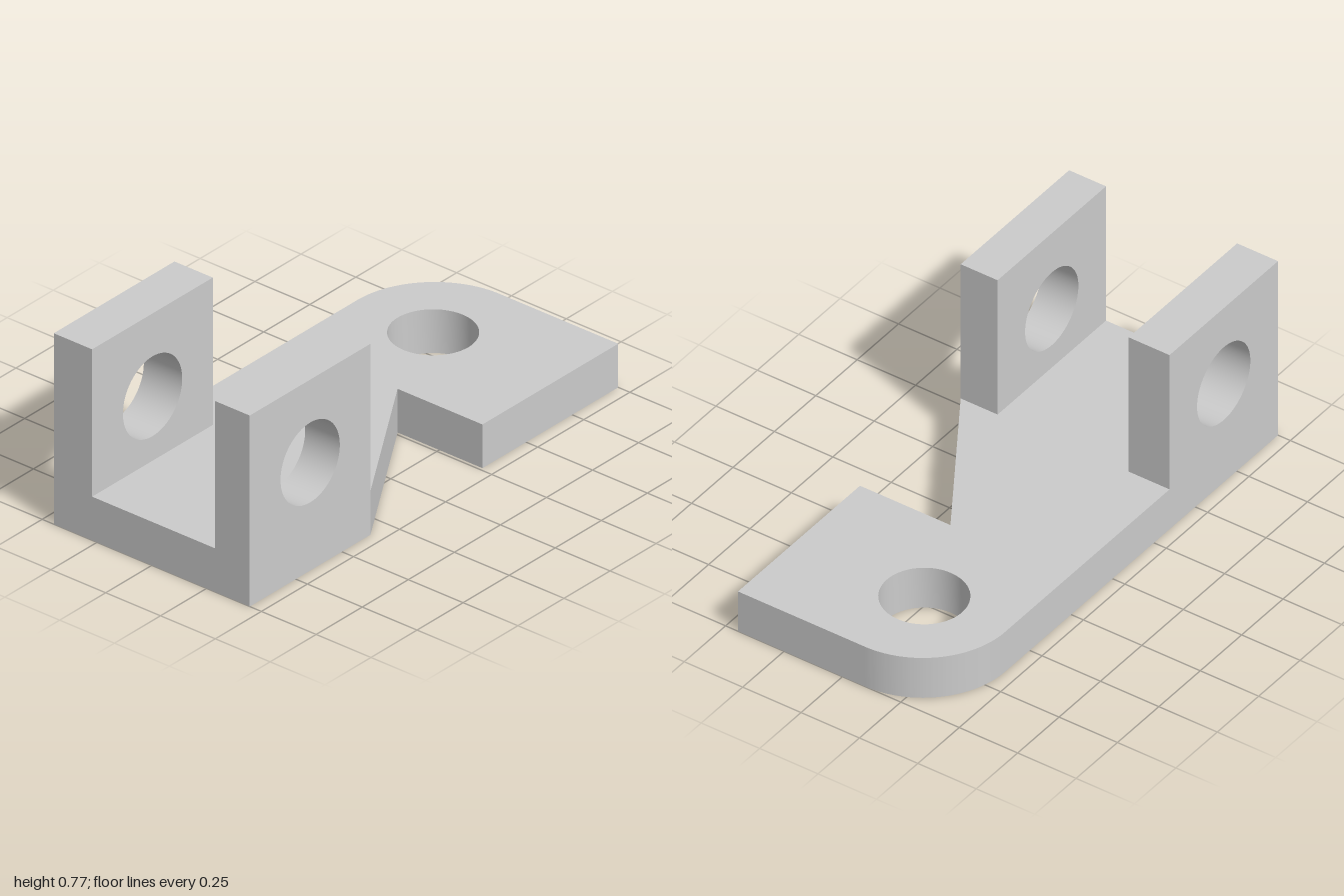
import * as THREE from 'three';
import { toCreasedNormals } from 'three/addons/utils/BufferGeometryUtils.js';

const HALF_DEPTH = 0.447;
const PLATE_HEIGHT = 0.176;

// Extrude a shape with one round hole, keeping the curves smooth and the edges sharp
function drilledSlab(shape, holeX, holeY, holeRadius, depth) {
  const hole = new THREE.Path();
  hole.absarc(holeX, holeY, holeRadius, 0, Math.PI * 2, true);
  shape.holes.push(hole);
  const geometry = new THREE.ExtrudeGeometry(shape, { depth, bevelEnabled: false, curveSegments: 32 });
  return toCreasedNormals(geometry, Math.PI / 6);
}

export function createModel() {
  const group = new THREE.Group();
  const material = new THREE.MeshStandardMaterial({ color: 0xcccccc });

  function add(name, geometry) {
    const mesh = new THREE.Mesh(geometry, material);
    mesh.name = name;
    group.add(mesh);
  }

  // Base plate: notched front edge, one rounded back corner (shape y is -z)
  const plate = new THREE.Shape();
  plate.moveTo(-1, -HALF_DEPTH);
  plate.lineTo(-0.345, -HALF_DEPTH);
  plate.lineTo(0.263, -0.06);
  plate.lineTo(0.263, -HALF_DEPTH);
  plate.lineTo(1, -HALF_DEPTH);
  plate.absarc(0.648, HALF_DEPTH - 0.352, 0.352, 0, Math.PI / 2, false);
  plate.lineTo(-1, HALF_DEPTH);
  plate.closePath();
  add('basePlate', drilledSlab(plate, 0.645, 0.099, 0.161, PLATE_HEIGHT).rotateX(-Math.PI / 2));

  // Upright lugs with aligned pin holes, flush with the plate's edges
  const lugs = [
    ['frontLug', 0.289, HALF_DEPTH],
    ['backLug', -HALF_DEPTH, -0.272],
  ];
  for (const [name, zMin, zMax] of lugs) {
    const lug = new THREE.Shape();
    lug.moveTo(-1, PLATE_HEIGHT);
    lug.lineTo(-0.345, PLATE_HEIGHT);
    lug.lineTo(-0.345, 0.77);
    lug.lineTo(-1, 0.77);
    lug.closePath();
    add(name, drilledSlab(lug, -0.672, 0.436, 0.161, zMax - zMin).translate(0, 0, zMin));
  }

  return group;
}
